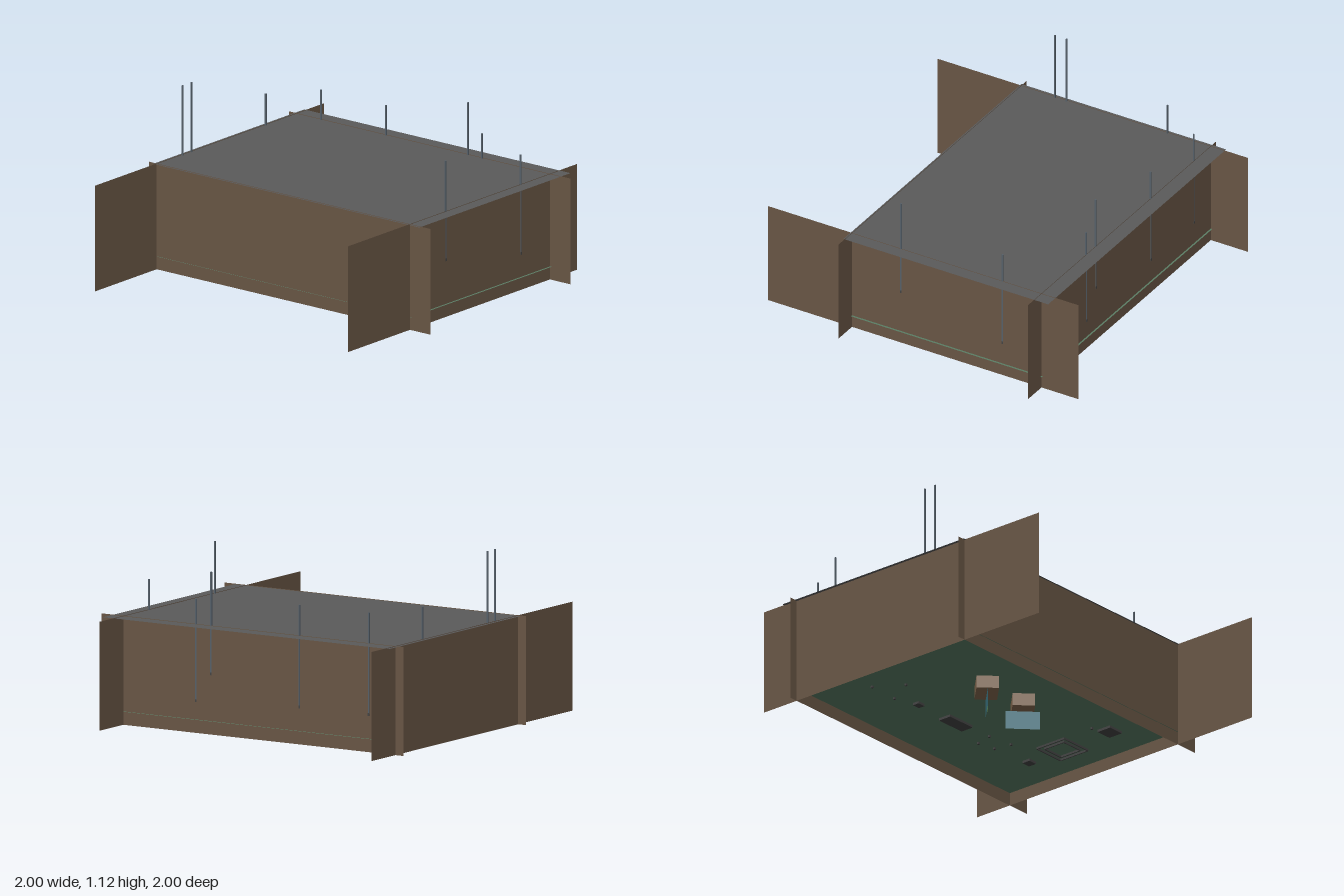
import * as THREE from 'three';

const mat = (name, hex, side = THREE.FrontSide) => {
  const m = new THREE.MeshStandardMaterial({ color: hex, side });
  m.name = name;
  return m;
};

export function createModel() {
  const model = new THREE.Group();
  model.name = 'room';

  const wallBrown = mat('wallBrown', 0x695645, THREE.DoubleSide);
  const roofGrey = mat('roofGrey', 0x5a5a5a, THREE.DoubleSide);
  const floorGreen = mat('floorGreen', 0x5a7d64, THREE.DoubleSide);
  const teal = mat('teal', 0x3b7582, THREE.DoubleSide);
  const wood = mat('wood', 0x84694f);
  const poleGrey = mat('poleGrey', 0x55606a);
  const furnitureDark = mat('furnitureDark', 0x444444);
  const leafGreen = mat('leafGreen', 0x6a9a5a, THREE.DoubleSide);

  const add = (name, geo, material, x, y, z, ry = 0, parent = model) => {
    const m = new THREE.Mesh(geo, material);
    m.name = name;
    m.position.set(x, y, z);
    m.rotation.y = ry;
    parent.add(m);
    return m;
  };
  const box = (w, h, d) => new THREE.BoxGeometry(w, h, d);
  // Thin level sheet between two x and two z values
  const sheet = (name, material, y, x0, x1, z0, z1) =>
    add(name, new THREE.PlaneGeometry(x1 - x0, z1 - z0).rotateX(-Math.PI / 2), material,
      (x0 + x1) / 2, y, (z0 + z1) / 2);

  // Four thin walls, each crossing past its neighbours
  const y0 = 0.105, y1 = 0.715;
  const wall = new THREE.PlaneGeometry(2, y1 - y0);
  const wy = (y0 + y1) / 2;
  const left = 0.855, right = -0.947, front = 0.46, back = -0.762;
  add('frontWall', wall, wallBrown, 0, wy, front);
  add('backWall', wall, wallBrown, 0, wy, back, Math.PI);
  add('leftWall', wall, wallBrown, left, wy, 0, Math.PI / 2);
  add('rightWall', wall, wallBrown, right, wy, 0, -Math.PI / 2);

  // Roof with an overhang at the back and one side; floor just passing the walls
  const floorY = 0.18;
  sheet('roof', roofGrey, 0.712, -0.965, 0.93, -0.85, 0.47);
  sheet('floor', floorGreen, floorY, right, left + 0.012, back - 0.01, front + 0.004);

  // Poles set into the walls: x, z, top height
  const poleLength = 0.57;
  const poleGeo = box(0.008, poleLength, 0.008);
  const inset = 0.003;
  const poles = [
    [right + 0.006, 0.165, 1.115], [right + 0.006, 0.24, 1.115], [right + 0.006, -0.485, 0.895],
    [left - inset, 0.145, 1.005], [left - inset, -0.51, 0.885],
    [0.275, back + inset, 1.015], [0.375, back + inset, 0.855],
    [-0.31, back + inset, 0.885], [-0.77, back + inset, 0.885],
  ];
  for (const [x, z, top] of poles) {
    const g = new THREE.Group();
    g.name = 'wallPole';
    model.add(g);
    add('pole', poleGeo, poleGrey, x, top - poleLength / 2, z, 0, g);
    add('poleFoot', box(0.01, 0.016, 0.01), furnitureDark, x, top - poleLength, z, 0, g);
  }

  // Two turned crates under the floor, each with a teal board hanging below
  for (const [x, turn] of [[-0.025, -1], [-0.33, 1]]) {
    add('crate', box(0.125, 0.1, 0.16), wood, x, 0.157, 0.09, -Math.PI / 4);
    add('tealBoard', new THREE.PlaneGeometry(0.19, 0.107), teal, x, 0.0535, 0.09, turn * Math.PI / 4);
  }
  // Green disc on the second board
  add('greenDisc', new THREE.CircleGeometry(0.025, 20).scale(1.4, 1, 1), leafGreen,
    -0.327, 0.026, 0.093, Math.PI / 4);

  // Furniture feet showing beneath the floor
  const under = floorY - 0.006;
  const pads = [
    [0.594, 0.19, 0.1, 0.09], [0.61, -0.41, 0.055, 0.05], [-0.045, -0.38, 0.19, 0.08], [-0.36, -0.38, 0.05, 0.04],
  ];
  for (const [x, z, w, d] of pads) add('furnitureBase', box(w, 0.016, d), furnitureDark, x, under, z);
  const feet = [
    [0.37, -0.335], [0.35, -0.44], [0.24, -0.46], [0.21, -0.356],
    [-0.505, -0.43], [-0.6, -0.265], [-0.7, -0.425], [0.5, 0.14],
  ];
  for (const [x, z] of feet) add('foot', box(0.012, 0.012, 0.012), furnitureDark, x, under, z);

  // Nested square frames
  for (const s of [0.2, 0.14]) {
    for (const k of [-1, 1]) {
      add('frameRail', box(s, 0.012, 0.006), furnitureDark, 0.6, under, -0.16 + k * s / 2);
      add('frameRail', box(0.006, 0.012, s), furnitureDark, 0.6 + k * s / 2, under, -0.16);
    }
  }
  return model;
}
